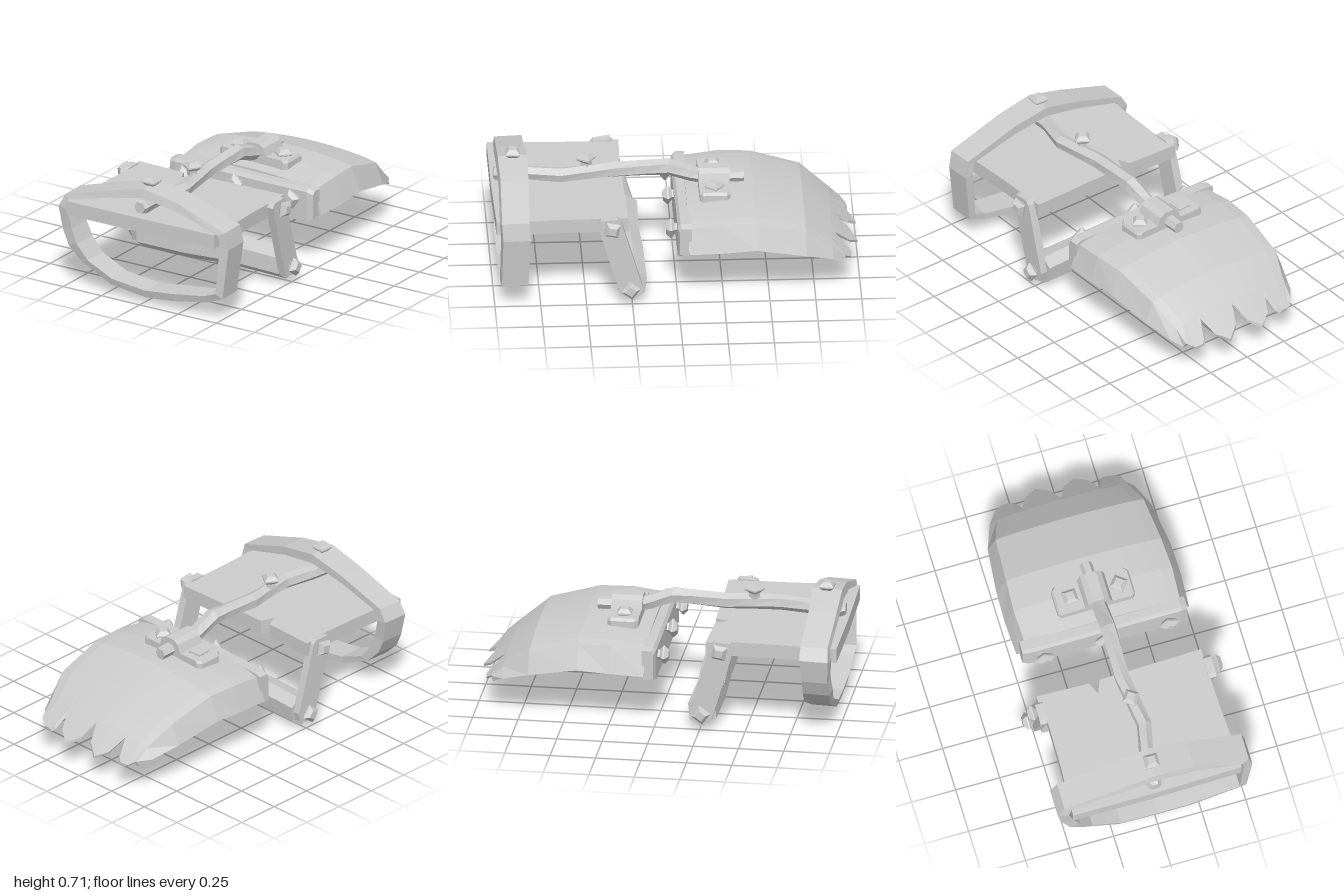
import * as THREE from 'three';

const stone = new THREE.MeshStandardMaterial({ color: 0xcccccc });
stone.name = 'plain grey';

// Split faces apart so every facet has its own normal
function faceted(geometry) {
  const g = geometry.index ? geometry.toNonIndexed() : geometry;
  g.computeVertexNormals();
  return g;
}

// Skin a row of equal-length rings; ends are capped by pairing point i with n-1-i
function loft(rings, closed = false) {
  const tris = [];
  const quad = (a, b, c, d) => tris.push([a, b, c], [a, c, d]);
  const n = rings[0].length, m = rings.length;
  for (let r = 0; r < (closed ? m : m - 1); r++) {
    const A = rings[r], B = rings[(r + 1) % m];
    for (let i = 0; i < n; i++) {
      const j = (i + 1) % n;
      quad(A[i], A[j], B[j], B[i]);
    }
  }
  if (!closed) {
    const F = rings[0], L = rings[m - 1];
    for (let i = 0; i < n / 2 - 1; i++) {
      quad(F[i], F[n - 1 - i], F[n - 2 - i], F[i + 1]);
      quad(L[i], L[i + 1], L[n - 2 - i], L[n - 1 - i]);
    }
  }
  // Turn all faces outward
  const v = p => new THREE.Vector3(...p);
  const volume = tris.reduce((s, [a, b, c]) => s + v(a).dot(v(b).cross(v(c))), 0);
  if (volume < 0) tris.forEach(t => t.reverse());
  const g = new THREE.BufferGeometry();
  g.setAttribute('position', new THREE.Float32BufferAttribute(tris.flat(2), 3));
  return faceted(g);
}

export function createModel() {
  const model = new THREE.Group();
  const add = (name, geometry, x = 0, y = 0, z = 0) => {
    const mesh = new THREE.Mesh(geometry, stone);
    mesh.name = name;
    mesh.position.set(x, y, z);
    model.add(mesh);
    return mesh;
  };

  // Scoop teeth: [x, reach beyond the last row], mirrored
  const half = [[0.04, 0.1], [0.11, 0.145], [0.18, 0.1], [0.22, 0.015], [0.25, 0.09], [0.27, 0.105], [0.32, 0.1]];
  const teeth = [...half.map(([x, r]) => [-x, r]).reverse(), [0, 0.015], ...half];
  // Scoop rows: [z, crown y, skirt y, half width, shoulder half width]
  const rows = [
    [-0.06, 0.465, 0.29, 0.49, 0.44], [-0.25, 0.485, 0.3, 0.5, 0.45],
    [-0.43, 0.485, 0.31, 0.495, 0.44], [-0.7, 0.415, 0.255, 0.465, 0.42],
    [-0.85, 0.3, 0.205, 0.41, 0.37],
  ];
  const scoopRing = ([z, top, low, wide, shoulder], tip) => {
    const crown = teeth.map(([x, reach]) => [
      x * shoulder / 0.37,
      top - 0.035 * (x / 0.37) ** 2 - tip * reach * (Math.abs(x) > 0.22 ? 1 : 0.9),
      z - tip * reach,
    ]);
    const edge = s => [s * (shoulder - 0.01 * tip), top - 0.04 - 0.06 * tip, z - 0.07 * tip];
    const skirt = s => [s * (wide - 0.045 * tip), low - 0.035 * tip, z - 0.055 * tip];
    const outer = [skirt(-1), edge(-1), ...crown, edge(1), skirt(1)];
    // Shallow hollow underneath, thinning to the teeth
    const depth = tip ? 0.015 : Math.max(0.03, top - low - 0.075);
    const inner = outer.map(([x, y, pz], i) =>
      [x * 0.955, y - (i === 0 || i === outer.length - 1 ? 0 : depth), pz]);
    return [...outer, ...inner.reverse()];
  };
  add('scoop', loft([...rows.map(r => scoopRing(r, 0)), scoopRing(rows[4], 1)]));

  // Rough beam along the front of the scoop: [x, bottom, top, front z]
  const beam = [[-0.47, 0.27, 0.435, -0.01], [-0.43, 0.26, 0.445, 0], [-0.1, 0.26, 0.455, 0.003],
    [0.15, 0.255, 0.45, 0], [0.43, 0.26, 0.45, 0], [0.465, 0.28, 0.435, -0.01]];
  add('scoopBeam', loft(beam.map(([x, b, t, f]) =>
    [[x, b, -0.075], [x, b, f], [x, t - 0.02, f], [x, t, f - 0.015], [x, t, -0.075], [x, b + 0.02, -0.075]])));

  // Seat plate with chipped edges, drawn in x and z
  const outline = [[-0.48, 0.28], [-0.18, 0.29], [-0.15, 0.36], [-0.12, 0.285], [0.46, 0.27],
    [0.465, 0.6], [0.475, 0.8], [0.48, 0.99], [0, 1], [-0.48, 1], [-0.465, 0.7], [-0.46, 0.45]];
  const plate = new THREE.ExtrudeGeometry(
    new THREE.Shape(outline.map(p => new THREE.Vector2(...p))), { depth: 0.08, bevelEnabled: false });
  add('plate', faceted(plate.rotateX(Math.PI / 2)), 0, 0.51, 0);

  // Front hoop: [outer x, outer y, inner x, inner y]
  const hoop = [
    [0, 0.675, 0, 0.62], [0.22, 0.635, 0.22, 0.585], [0.53, 0.528, 0.49, 0.505],
    [0.55, 0.43, 0.5, 0.44], [0.515, 0.14, 0.475, 0.16], [0.41, 0.097, 0.4, 0.13],
    [0.2, 0.062, 0.19, 0.1], [0.01, 0.042, 0.01, 0.08], [-0.21, 0.072, -0.2, 0.105],
    [-0.41, 0.165, -0.36, 0.175], [-0.49, 0.245, -0.43, 0.26], [-0.53, 0.33, -0.465, 0.34],
    [-0.555, 0.46, -0.495, 0.45], [-0.515, 0.53, -0.48, 0.505], [-0.22, 0.62, -0.22, 0.575],
  ];
  add('frontHoop', loft(hoop.map(([ox, oy, ix, iy], i) => {
    const back = 0.8 + 0.03 * (0.65 - oy) + (i % 3) * 0.004, front = 0.972 - (i % 2) * 0.006;
    return [[ox, oy, back], [ox, oy - 0.005, front - 0.01], [ix, iy, front], [ix, iy, back]];
  }), true));

  // Wooden shaft: [x, y, z, radius]
  const shaft = [[-0.01, 0.565, 0.985, 0.035], [-0.01, 0.565, 0.96, 0.045], [-0.005, 0.565, 0.8, 0.04],
    [0.035, 0.565, 0.62, 0.043], [0.012, 0.57, 0.45, 0.043], [-0.005, 0.572, 0.33, 0.045],
    [0, 0.582, 0.15, 0.045], [0.003, 0.585, 0.03, 0.047], [0, 0.545, -0.08, 0.045],
    [0, 0.525, -0.15, 0.042], [-0.005, 0.52, -0.38, 0.034]];
  add('shaft', loft(shaft.map(([x, y, z, r], k) => Array.from({ length: 6 }, (_, i) => {
    const a = (i + 0.1 * k) * Math.PI / 3;
    return [x + r * Math.cos(a), y + r * Math.sin(a), z];
  }))));

  // Bracket: clipped-corner base plate and a saddle over the shaft
  const base = [[-0.23, -0.28], [-0.21, -0.3], [0.19, -0.3], [0.21, -0.28],
    [0.21, -0.15], [0.19, -0.13], [-0.21, -0.13], [-0.23, -0.15]];
  add('bracketBase', loft([0.46, 0.505, 0.52].map((y, k) =>
    base.map(([x, z]) => [x * (k === 2 ? 0.95 : 1), y, z]))));
  add('bracketSaddle', loft([-0.3, -0.13].map(z =>
    [[-0.085, 0.5], [-0.06, 0.565], [-0.03, 0.585], [0.03, 0.585], [0.06, 0.565], [0.085, 0.5]]
      .map(([x, y]) => [x, y, z]))));

  // Swinging stirrup: two arms and a round-bottomed tread
  for (const [side, name] of [[1, 'leftArm'], [-1, 'rightArm']]) {
    const arm = [[0.44, 0.49], [0.42, 0.515], [0.33, 0.52], [0.31, 0.5], [0.195, 0.11],
      [0.205, 0.06], [0.25, 0.045], [0.315, 0.06]];
    add(name, loft([0.455, 0.5].map(x => arm.map(([z, y]) => [side * x, y, z]))));
  }
  const tread = [[0.33, 0.15], [0.24, 0.18], [0.18, 0.14], [0.19, 0.05], [0.25, 0.005], [0.335, 0.06]];
  add('tread', loft([[-0.46, 0, 0], [-0.15, 0.005, 0.008], [0.12, 0.015, -0.005], [0.46, 0.005, -0.01]]
    .map(([x, dy, dz]) => tread.map(([z, y]) => [x, y + dy, z + dz]))));

  // Four-sided bolts
  const boltGeometry = faceted(new THREE.LatheGeometry(
    [[0, -0.03], [0.03, -0.03], [0.03, 0], [0.055, 0.018], [0.055, 0.026], [0.03, 0.048], [0, 0.048]]
      .map(p => new THREE.Vector2(...p)), 4));
  const up = new THREE.Vector3(0, 1, 0);
  const bolt = (x, y, z, direction, spin) => {
    const mesh = add('bolt', boltGeometry, x, y, z);
    mesh.quaternion.setFromUnitVectors(up, new THREE.Vector3(...direction));
    mesh.rotateY(spin);
  };
  bolt(0, 0.667, 0.88, [0, 1, 0], 0.75);
  bolt(0, 0.625, 0.48, [0, 1, 0], 0.2);
  bolt(-0.14, 0.505, -0.215, [0, 1, 0], 0.85);
  bolt(0.135, 0.505, -0.215, [0, 1, 0], 0.1);
  bolt(-0.355, 0.375, 0.012, [0, 0, 1], 0.1);
  bolt(-0.02, 0.4, 0.012, [0, 0, 1], 0.05);
  bolt(0.35, 0.385, 0.012, [0, 0, 1], 0.2);
  for (const s of [1, -1]) {
    bolt(s * 0.502, 0.47, 0.36, [s, 0, 0], 0.6);
    bolt(s * 0.502, 0.1, 0.26, [s, 0, 0], 0.15);
  }
  return model;
}
